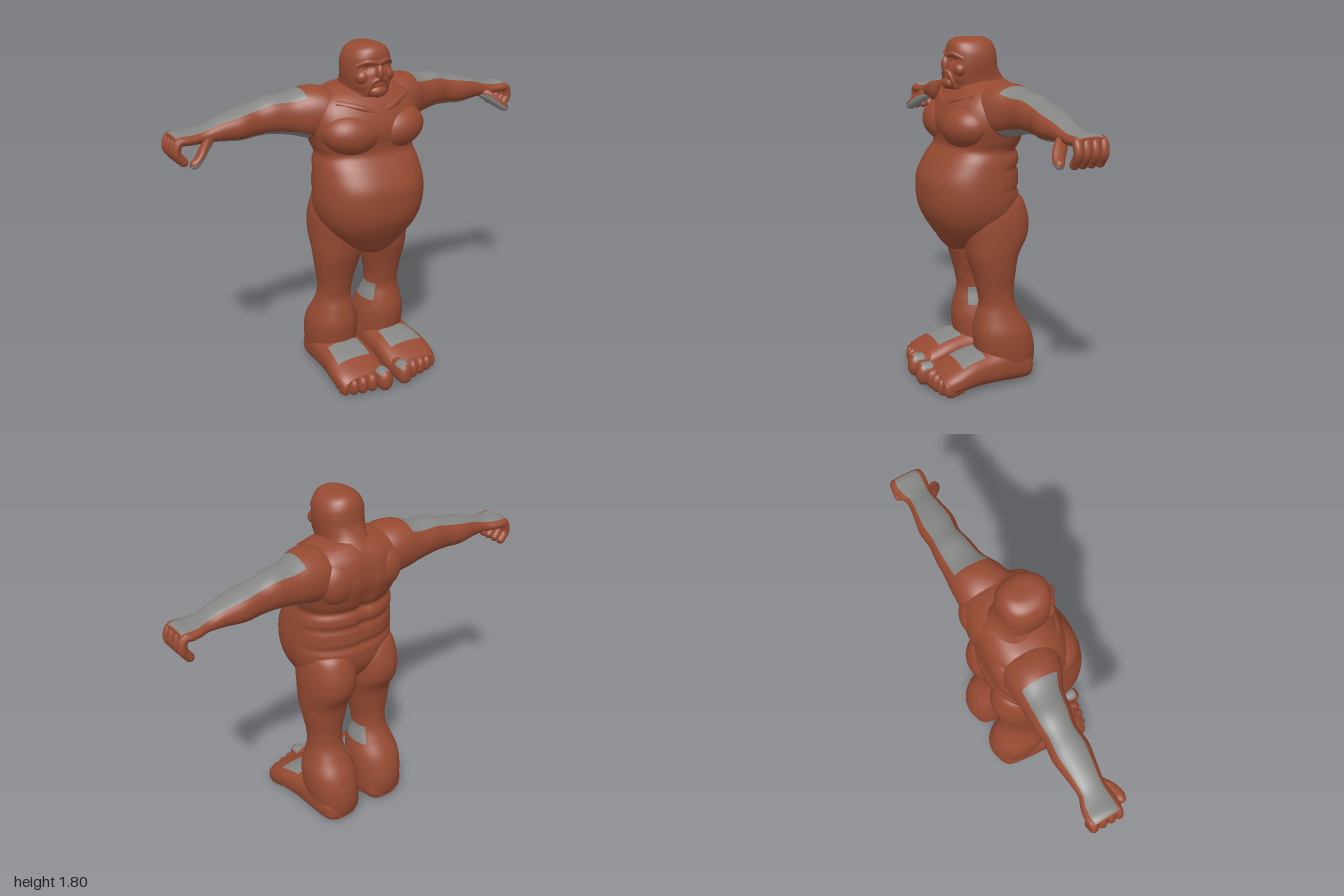
import * as THREE from 'three';

const skin = new THREE.MeshStandardMaterial({ color: 0x964a32 });
skin.name = 'rust skin';
const grey = new THREE.MeshStandardMaterial({ color: 0x858583 });
grey.name = 'grey patch';

// Closed loft along axis 0/1/2 (x/y/z). Rows: [t, uMin, uMax, vMin, vMax],
// where u and v are the next two axes in cyclic order.
function loft(axis, rows, { power = 2.2, sides = 40, steps = 6, isGrey = () => false, deform } = {}) {
  const rings = (rows.length - 1) * steps;
  const pos = [], skinIdx = [], greyIdx = [];
  const sample = (f, c) => {
    const i = Math.min(Math.floor(f), rows.length - 2), s = f - i;
    const at = k => rows[Math.max(0, Math.min(rows.length - 1, k))][c];
    const [a, b, d, e] = [at(i - 1), at(i), at(i + 1), at(i + 2)];
    return b + 0.5 * s * (d - a + s * (2 * a - 5 * b + 4 * d - e + s * (3 * (b - d) + e - a)));
  };
  const put = (t, u, v) => {
    const p = new THREE.Vector3();
    p.setComponent(axis, t);
    p.setComponent((axis + 1) % 3, u);
    p.setComponent((axis + 2) % 3, v);
    if (deform) deform(p);
    pos.push(p.x, p.y, p.z);
  };
  const curve = c => Math.sign(c) * Math.pow(Math.abs(c), 2 / power);
  for (let r = 0; r <= rings; r++) {
    const [t, u0, u1, v0, v1] = [0, 1, 2, 3, 4].map(c => sample(r / steps, c));
    for (let j = 0; j < sides; j++) {
      const a = j / sides * Math.PI * 2;
      put(t, (u0 + u1) / 2 + (u1 - u0) / 2 * curve(Math.cos(a)), (v0 + v1) / 2 + (v1 - v0) / 2 * curve(Math.sin(a)));
    }
  }
  for (let r = 0; r < rings; r++) for (let j = 0; j < sides; j++) {
    const k = (j + 1) % sides, a = r * sides + j, b = r * sides + k, c = b + sides, d = a + sides;
    const ang = (j + 0.5) / sides * Math.PI * 2;
    const t = (pos[a * 3 + axis] + pos[d * 3 + axis]) / 2;
    (isGrey(t, Math.cos(ang), Math.sin(ang)) ? greyIdx : skinIdx).push(a, b, c, a, c, d);
  }
  // end caps
  for (const [row, base, flip] of [[rows[0], 0, true], [rows[rows.length - 1], rings * sides, false]]) {
    const m = pos.length / 3;
    put(row[0], (row[1] + row[2]) / 2, (row[3] + row[4]) / 2);
    for (let j = 0; j < sides; j++) {
      const a = base + j, b = base + (j + 1) % sides;
      skinIdx.push(m, flip ? b : a, flip ? a : b);
    }
  }
  const g = new THREE.BufferGeometry();
  g.setAttribute('position', new THREE.Float32BufferAttribute(pos, 3));
  g.setIndex([...skinIdx, ...greyIdx]);
  g.addGroup(0, skinIdx.length, 0);
  if (greyIdx.length) g.addGroup(skinIdx.length, greyIdx.length, 1);
  g.computeVertexNormals();
  return g;
}

function ellipsoid(x, y, z, rx, ry, rz, tilt = 0) {
  return new THREE.SphereGeometry(1, 28, 18).scale(rx, ry, rz).rotateZ(tilt).translate(x, y, z);
}

function tube(points, radius) {
  const path = new THREE.CatmullRomCurve3(points.map(p => new THREE.Vector3(...p)));
  return new THREE.TubeGeometry(path, 16, radius, 12);
}

function mirrored(geometry) {
  const g = geometry.clone().scale(-1, 1, 1), idx = g.index.array;
  for (let i = 0; i < idx.length; i += 3) [idx[i], idx[i + 1]] = [idx[i + 1], idx[i]];
  g.computeVertexNormals();
  return g;
}

export function createModel() {
  const model = new THREE.Group();
  model.name = 'heavyFigure';
  const add = (name, geometry) => {
    const mesh = new THREE.Mesh(geometry, geometry.groups.length > 1 ? [skin, grey] : skin);
    mesh.name = name;
    model.add(mesh);
  };
  const pair = (name, geometry) => {
    add(name + 'Left', geometry);
    add(name + 'Right', mirrored(geometry));
  };
  const bell = (v, w) => Math.exp(-(v / w) * (v / w));

  // torso: hanging belly, chest and back, with spine groove and back folds
  const torso = [
    [0.71, 0.0, 0.09, 0.03], [0.74, -0.06, 0.13, 0.1], [0.8, -0.15, 0.17, 0.18], [0.87, -0.21, 0.215, 0.24],
    [0.94, -0.24, 0.245, 0.272], [1.02, -0.245, 0.255, 0.287], [1.11, -0.24, 0.248, 0.285], [1.2, -0.24, 0.2, 0.275],
    [1.26, -0.235, 0.155, 0.263], [1.31, -0.25, 0.15, 0.28], [1.39, -0.272, 0.16, 0.3], [1.47, -0.265, 0.135, 0.295],
    [1.53, -0.245, 0.095, 0.265], [1.57, -0.21, 0.05, 0.2], [1.59, -0.18, 0.0, 0.13],
  ].map(([y, z0, z1, w]) => [y, z0, z1, -w, w]);
  add('torso', loft(1, torso, {
    power: 2.35, sides: 64, steps: 8,
    deform: p => {
      if (p.z < -0.08 && p.y > 0.95) {
        p.z += 0.022 * bell(p.x, 0.03) * bell(p.y - 1.32, 0.22);
        p.z += 0.012 * (bell(p.y - 1.05, 0.018) + bell(p.y - 1.16, 0.016) + bell(p.y - 1.25, 0.018));
      }
    },
  }));
  pair('pectoral', ellipsoid(0.13, 1.37, 0.06, 0.155, 0.11, 0.122, 0.15));
  pair('shoulderBlade', ellipsoid(0.14, 1.42, -0.18, 0.11, 0.12, 0.09, -0.2));
  pair('collarbone', tube([[0.03, 1.475, 0.115], [0.1, 1.5, 0.1], [0.2, 1.525, 0.04]], 0.018));

  // head and thick neck
  const head = [
    [1.43, -0.25, 0.06, 0.21], [1.52, -0.24, 0.075, 0.165], [1.565, -0.215, 0.1, 0.118], [1.6, -0.18, 0.122, 0.112],
    [1.65, -0.152, 0.115, 0.12], [1.7, -0.145, 0.108, 0.122], [1.74, -0.138, 0.107, 0.114], [1.775, -0.12, 0.095, 0.092],
    [1.795, -0.09, 0.07, 0.055], [1.8, -0.05, 0.04, 0.02],
  ].map(([y, z0, z1, w]) => [y, z0, z1, -w, w]);
  add('head', loft(1, head, {
    sides: 56, steps: 8,
    deform: p => { // eye sockets
      if (p.z > 0.03) p.z -= 0.018 * bell(Math.abs(p.x) - 0.045, 0.025) * bell(p.y - 1.69, 0.018);
    },
  }));
  add('brow', tube([[-0.095, 1.7, 0.06], [-0.05, 1.722, 0.096], [0, 1.712, 0.106], [0.05, 1.722, 0.096], [0.095, 1.7, 0.06]], 0.013));
  add('nose', ellipsoid(0, 1.665, 0.117, 0.021, 0.042, 0.024));
  add('chin', ellipsoid(0, 1.575, 0.1, 0.05, 0.032, 0.034));
  pair('mouthFold', tube([[0.008, 1.637, 0.122], [0.035, 1.625, 0.112], [0.05, 1.59, 0.1], [0.052, 1.56, 0.085]], 0.013));
  pair('cheek', ellipsoid(0.07, 1.645, 0.07, 0.036, 0.035, 0.034));

  // arms with grey bands above and below
  pair('arm', loft(0, [
    [0.1, 1.38, 1.54, -0.2, 0.0], [0.2, 1.33, 1.585, -0.235, 0.045], [0.29, 1.335, 1.592, -0.238, 0.025],
    [0.38, 1.36, 1.568, -0.232, -0.02], [0.48, 1.378, 1.563, -0.23, -0.04], [0.56, 1.378, 1.54, -0.222, -0.055],
    [0.65, 1.374, 1.522, -0.228, -0.045], [0.75, 1.385, 1.495, -0.213, -0.06], [0.83, 1.39, 1.466, -0.205, -0.07],
    [0.89, 1.392, 1.457, -0.225, -0.062], [0.95, 1.398, 1.457, -0.232, -0.058], [0.98, 1.41, 1.445, -0.215, -0.075],
  ], {
    sides: 48,
    isGrey: (x, up) => (up > 0.66 && x > 0.32 && x < 0.972) || (up < -0.66 && x > 0.31 && x < 0.93),
  }));
  pair('thumb', loft(0, [
    [0.79, 1.39, 1.43, -0.12, -0.08], [0.83, 1.36, 1.43, -0.115, -0.045], [0.87, 1.33, 1.395, -0.085, -0.015],
    [0.905, 1.308, 1.36, -0.06, -0.002], [0.93, 1.308, 1.345, -0.045, -0.008], [0.938, 1.318, 1.332, -0.035, -0.018],
  ], { sides: 20, isGrey: (x, up) => up < -0.1 }));
  // curled fingers
  [-0.208, -0.165, -0.122, -0.082].forEach((z, i) => {
    const tip = [0.948, 1.328, z];
    pair('finger' + (i + 1), tube([[0.92, 1.425, z], [0.962, 1.425, z], [0.979, 1.375, z], tip], 0.022));
    pair('fingertip' + (i + 1), ellipsoid(...tip, 0.022, 0.022, 0.022));
  });

  // legs from buttock to heel
  pair('leg', loft(1, [
    [0.02, -0.26, -0.04, 0.06, 0.23], [0.05, -0.295, -0.01, 0.025, 0.26], [0.12, -0.312, 0.0, 0.015, 0.272],
    [0.2, -0.308, 0.015, 0.012, 0.282], [0.29, -0.28, 0.022, 0.018, 0.28], [0.37, -0.23, 0.008, 0.04, 0.255],
    [0.44, -0.196, -0.008, 0.058, 0.238], [0.52, -0.19, 0.005, 0.055, 0.238], [0.6, -0.198, 0.025, 0.035, 0.252],
    [0.7, -0.215, 0.055, 0.01, 0.265], [0.79, -0.262, 0.07, 0.0, 0.27], [0.87, -0.272, 0.08, 0.0, 0.27],
    [0.94, -0.258, 0.07, 0.005, 0.262], [1.0, -0.23, 0.03, 0.03, 0.24], [1.03, -0.18, -0.02, 0.08, 0.19],
  ], { sides: 44, isGrey: (y, front, out) => out < -0.8 && y > 0.36 && y < 0.45 }));

  // broad feet with a patch across the instep
  pair('foot', loft(2, [
    [-0.29, 0.08, 0.21, 0.03, 0.12], [-0.25, 0.035, 0.26, 0.008, 0.17], [-0.12, 0.02, 0.28, 0.01, 0.21],
    [-0.01, 0.02, 0.285, 0.012, 0.195], [0.08, 0.015, 0.298, 0.012, 0.178], [0.15, 0.015, 0.305, 0.006, 0.152],
    [0.21, 0.022, 0.3, 0.004, 0.125], [0.245, 0.04, 0.28, 0.015, 0.1],
  ], { power: 2.6, sides: 44, isGrey: (z, out, up) => z > 0.01 && z < 0.135 && up > 0.72 && out > -0.5 }));
  [[0.062, 0.042, 0.318, 0.122], [0.13, 0.03, 0.288, 0.11], [0.182, 0.028, 0.28, 0.105], [0.23, 0.027, 0.268, 0.1], [0.272, 0.026, 0.248, 0.092]]
    .forEach(([x, w, tip, h], i) => {
      const row = (z, k) => [z, x - w * k, x + w * k, 0.055 - 0.055 * k, 0.055 + (h - 0.055) * k];
      pair('toe' + (i + 1), loft(2, [
        row(0.14, 0.7), row(0.2, 0.95), row(tip - 0.05, 1), row(tip - 0.02, 0.88), row(tip - 0.005, 0.55), row(tip, 0.15),
      ], { sides: 20, steps: 4, isGrey: (z, out, up) => i === 0 && up > 0.6 && z > 0.235 && z < 0.29 }));
    });
  return model;
}
